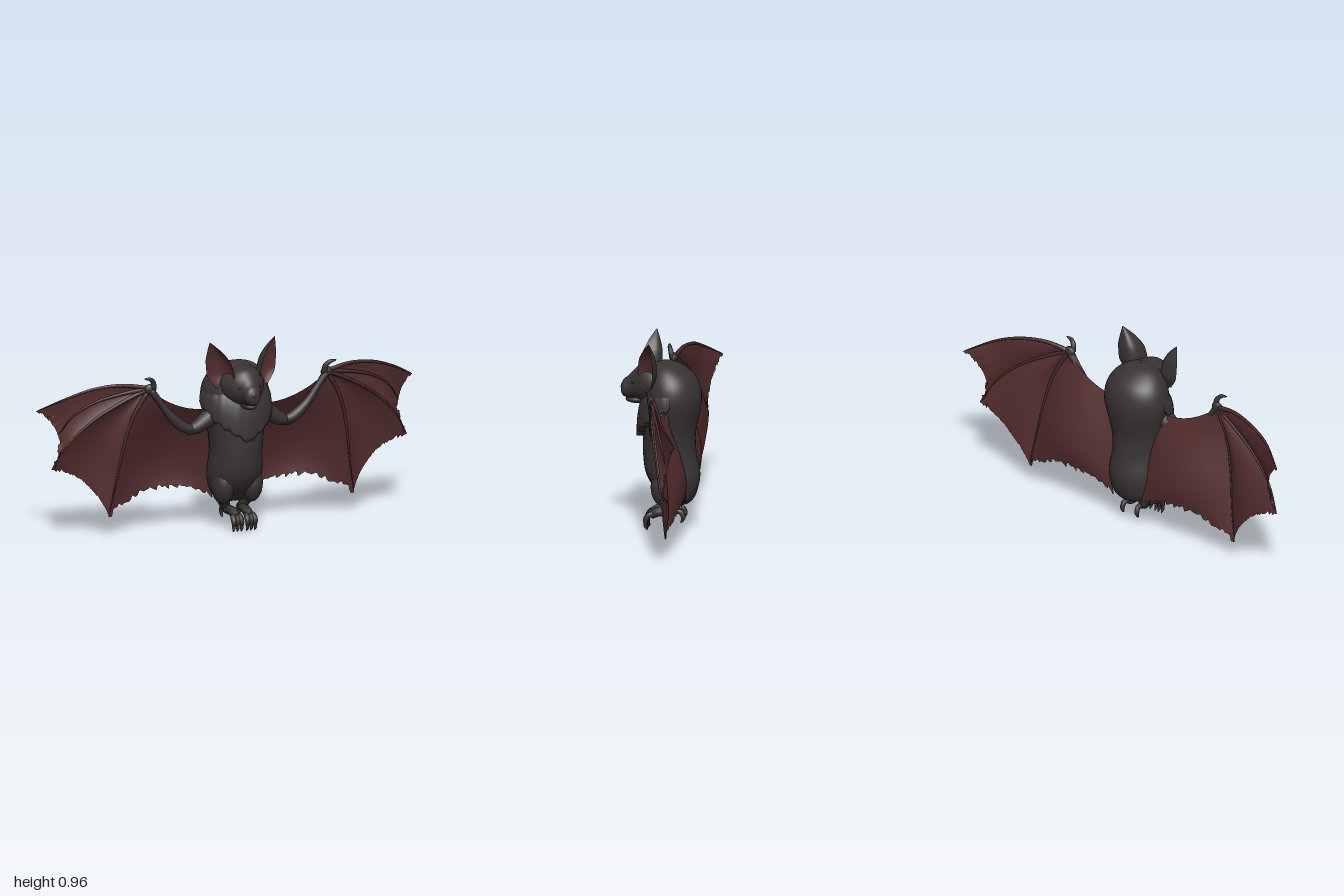
import * as THREE from 'three';

const V = (a) => new THREE.Vector3(...a);
const curve = (pts) => new THREE.CatmullRomCurve3(pts.map(V));

// Surface from fn(u, v), u and v in 0..1; wrap joins u = 1 to u = 0
function grid(nu, nv, fn, wrap = false) {
  const pos = [], idx = [], cols = wrap ? nu : nu + 1;
  for (let j = 0; j <= nv; j++)
    for (let i = 0; i < cols; i++) pos.push(...fn(i / nu, j / nv, i, j));
  for (let j = 0; j < nv; j++)
    for (let i = 0; i < nu; i++) {
      const k = (i + 1) % cols;
      const a = j * cols + i, b = j * cols + k, c = b + cols, d = a + cols;
      idx.push(a, b, c, a, c, d);
    }
  const g = new THREE.BufferGeometry();
  g.setAttribute('position', new THREE.Float32BufferAttribute(pos, 3));
  g.setIndex(idx);
  g.computeVertexNormals();
  return g;
}

function mirrored(geo) {
  const g = geo.clone().scale(-1, 1, 1), ix = g.index.array;
  for (let i = 0; i < ix.length; i += 3) [ix[i], ix[i + 1]] = [ix[i + 1], ix[i]];
  g.computeVertexNormals();
  return g;
}

// Tapered limb along a path; radii are spread evenly along it
function limb(pts, radii, n = 20, sides = 10) {
  const c = curve(pts), f = c.computeFrenetFrames(n);
  return grid(sides, n, (u, v, i, j) => {
    const k = v * (radii.length - 1), m = Math.min(Math.floor(k), radii.length - 2);
    const r = j === 0 || j === n ? 0 : THREE.MathUtils.lerp(radii[m], radii[m + 1], k - m);
    const a = u * Math.PI * 2;
    return c.getPointAt(v).addScaledVector(f.normals[j], Math.cos(a) * r)
      .addScaledVector(f.binormals[j], Math.sin(a) * r).toArray();
  }, true);
}

const ball = (p, r) => new THREE.SphereGeometry(1, 24, 16).scale(...r).translate(...p);

export function createModel() {
  const model = new THREE.Group();
  model.name = 'bat';
  const mat = (name, color, side = THREE.FrontSide) => {
    const m = new THREE.MeshStandardMaterial({ color, side });
    m.name = name;
    return m;
  };
  const fur = mat('dark fur', 0x393334);
  const skin = mat('wing membrane', 0x522c2d, THREE.DoubleSide);
  const bone = mat('finger skin', 0x482a2b);
  const black = mat('eye and mouth black', 0x1c191a);
  const add = (name, geo, m) => {
    const mesh = new THREE.Mesh(geo, m);
    mesh.name = name;
    model.add(mesh);
  };
  const pair = (name, geo, m) => {
    add('left ' + name, geo, m);
    add('right ' + name, mirrored(geo), m);
  };

  // Body rings: [y, half width, front z, back z] packed into two curves
  const rings = [
    [.125, .002, -.09, -.1], [.135, .06, -.04, -.135], [.16, .1, -.01, -.16], [.21, .125, .035, -.18],
    [.28, .138, .075, -.19], [.38, .13, .09, -.172], [.48, .138, .09, -.168], [.57, .155, .09, -.185],
    [.65, .172, .085, -.197], [.72, .167, .08, -.188], [.77, .145, .07, -.165], [.81, .11, .05, -.12],
    [.835, .065, .02, -.075], [.845, .002, -.02, -.03]];
  const wide = curve(rings.map((r) => [r[1], r[0], 0]));
  const deep = curve(rings.map((r) => [r[2], r[0], r[3]]));
  add('body', grid(40, 52, (u, v) => {
    const a = u * Math.PI * 2, w = wide.getPoint(v), d = deep.getPoint(v);
    return [w.x * Math.sin(a), w.y, (d.x + d.z) / 2 + (d.x - d.z) / 2 * Math.cos(a)];
  }, true), fur);

  // Shaggy ruff round the throat: hem meets in a point on the chest, top sinks into the body
  add('chest ruff', grid(48, 16, (u, v, i, j) => {
    const a = (u - .5) * 3.3;
    const hem = .455 + .11 * Math.abs(a) + (i % 4 < 2 ? .01 : 0);
    const y = THREE.MathUtils.lerp(hem, .765, Math.max(0, (j - 1) / 15));
    const puff = j === 0 ? -.04 : .027 - .085 * v ** 3;
    return [(.157 + puff) * Math.sin(a), y, -.05 + (.145 + puff) * Math.cos(a)];
  }), fur);

  // Head and muzzle rings: [z, centre y, half width, half height]
  const headRings = [[-.04, .74, .002, .002], [-.03, .74, .09, .08], [.02, .738, .115, .098], [.07, .736, .104, .098],
    [.11, .734, .078, .086], [.14, .724, .053, .065], [.165, .711, .043, .052],
    [.185, .705, .037, .043], [.196, .703, .022, .025], [.199, .703, .001, .001]];
  const hc = curve(headRings.map((r) => [r[2], r[3], r[0]]));
  const hy = curve(headRings.map((r) => [r[1], 0, r[0]]));
  add('head', grid(32, 40, (u, v) => {
    const a = u * Math.PI * 2, r = hc.getPoint(v);
    return [r.x * Math.cos(a), hy.getPoint(v).x + r.y * Math.sin(a), r.z];
  }, true), fur);
  add('lower jaw', ball([0, .649, .122], [.036, .02, .055]), fur);
  add('mouth', ball([0, .662, .135], [.032, .006, .044]), black);
  add('nose', ball([0, .71, .185], [.022, .026, .016]), bone);
  pair('eye', ball([.051, .742, .134], [.007, .007, .008]), black);

  // Cupped ears opening forward and slightly outward
  const earMid = curve([[.108, .73, .05], [.113, .8, .05], [.125, .865, .048], [.146, .92, .046], [.173, .965, .043]]);
  const earWide = curve([[.032, 0, 0], [.07, 0, 0], [.064, 0, 0], [.036, 0, 0], [.0005, 0, 0]]);
  const ear = (dir, cup) => grid(16, 20, (u, v) => {
    const k = (u * 2 - 1) * dir, w = earWide.getPoint(v).x;
    const back = cup * w * (1 - k * k) - .3 * w;
    const p = earMid.getPoint(v);
    return [p.x + w * k * .8 - back * .6, p.y, p.z - w * k * .6 - back * .8];
  });
  pair('inner ear', ear(1, .65), skin);
  pair('outer ear', ear(-1, .85), fur);

  // Wing skeleton paths
  const wrist = [.47, .75, -.008];
  const lead = [wrist, [.6, .771, -.035], [.74, .758, -.07], [.86, .718, -.105], [1, .645, -.185]];
  const mid = [wrist, [.59, .695, -.03], [.75, .6, -.06], [.87, .485, -.09], [.945, .36, -.122]];
  const low = [wrist, [.55, .61, -.025], [.595, .44, -.05], [.622, .27, -.075], [.652, .1, -.095]];
  const flank = [[.12, .625, -.03], [.118, .5, -.07], [.115, .38, -.1], [.11, .25, -.125], [.085, .14, -.13]];
  const inset = [wrist, [.61, .728, -.034], [.74, .69, -.066], [.84, .625, -.096], [.903, .535, -.125]];

  // Membrane stretched between two paths with scalloped, torn trailing edge
  let seed = 7;
  const rnd = () => (seed = (seed * 16807) % 2147483647) / 2147483647;
  const panel = (A, B, sagTop, sagEnd, billow) => {
    const a = curve(A), b = curve(B), n = 44;
    const torn = Array.from({ length: n + 1 }, (_, i) => (i === 0 || i === n ? 0 : (rnd() - .5) * .03));
    return grid(n, 24, (u, v, i, j) => {
      const p = a.getPoint(v).lerp(b.getPoint(v), u);
      const e = Math.sin(Math.PI * u) ** .7, t = v * v;
      p.addScaledVector(V(sagTop), e * (1 - v) ** 2).addScaledVector(V(sagEnd), e * t);
      p.z += billow * Math.sin(Math.PI * u) * Math.sin(Math.PI * (.04 + v * .78));
      if (j === 24) p.add(V([torn[i] * .5, torn[i], 0]));
      return p.toArray();
    });
  };
  pair('inner wing membrane', panel(flank, low, [0, -.05, 0], [0, .09, 0], -.06), skin);
  pair('middle wing membrane', panel(low, mid, [0, 0, 0], [-.035, .045, 0], -.035), skin);
  pair('outer wing membrane', panel(mid, lead, [0, 0, 0], [-.07, .02, .025], -.012), skin);

  // Fingers
  const fingers = { leading: lead, inset, middle: mid, lower: low };
  for (const [name, path] of Object.entries(fingers))
    pair(name + ' finger', limb(path, [.012, .009, .007, .005, .002], 30, 8), bone);

  // Arm, wrist and hooked thumb
  pair('upper arm', limb([[.08, .61, -.015], [.16, .57, -.01], [.22, .535, -.005], [.285, .515, -.01]],
    [.05, .048, .036, .02]), fur);
  pair('forearm', limb([[.23, .52, -.005], [.29, .54, -.005], [.36, .6, -.003], [.42, .68, -.003], [.475, .755, -.004]],
    [.026, .028, .02, .016, .019]), fur);
  pair('wrist', ball([.468, .748, -.005], [.03, .026, .018]), fur);
  pair('thumb', limb([[.455, .745, 0], [.457, .78, .008], [.475, .8, .016], [.512, .808, .02]],
    [.016, .013, .01, .002]), fur);

  // Legs, feet with toes and claws, and heel spurs
  pair('thigh', ball([.075, .225, -.025], [.056, .098, .07]), fur);
  pair('shin', limb([[.07, .18, -.04], [.055, .13, -.055], [.042, .095, -.06], [.04, .088, -.02]],
    [.045, .032, .022, .018]), fur);
  pair('foot', limb([[.04, .098, -.085], [.038, .096, -.03], [.036, .09, .02], [.036, .07, .055]],
    [.012, .021, .025, .02]), fur);
  pair('heel spur', limb([[.042, .1, -.06], [.044, .095, -.1], [.046, .07, -.112], [.046, .04, -.1]],
    [.015, .013, .012, .003]), fur);
  for (let k = 0; k < 3; k++) {
    const x = .018 + k * .018, out = (k - 1) * .003;
    pair('toe ' + (k + 1), limb([[.034 + out, .085, .02], [x, .077, .055], [x + out, .055, .073], [x + out, .033, .071]],
      [.012, .014, .013, .009], 14, 8), fur);
    pair('claw ' + (k + 1), limb([[x + out, .045, .072], [x + out, .025, .073], [x + out, .003, .062]],
      [.01, .009, .002], 10, 6), fur);
  }
  return model;
}
